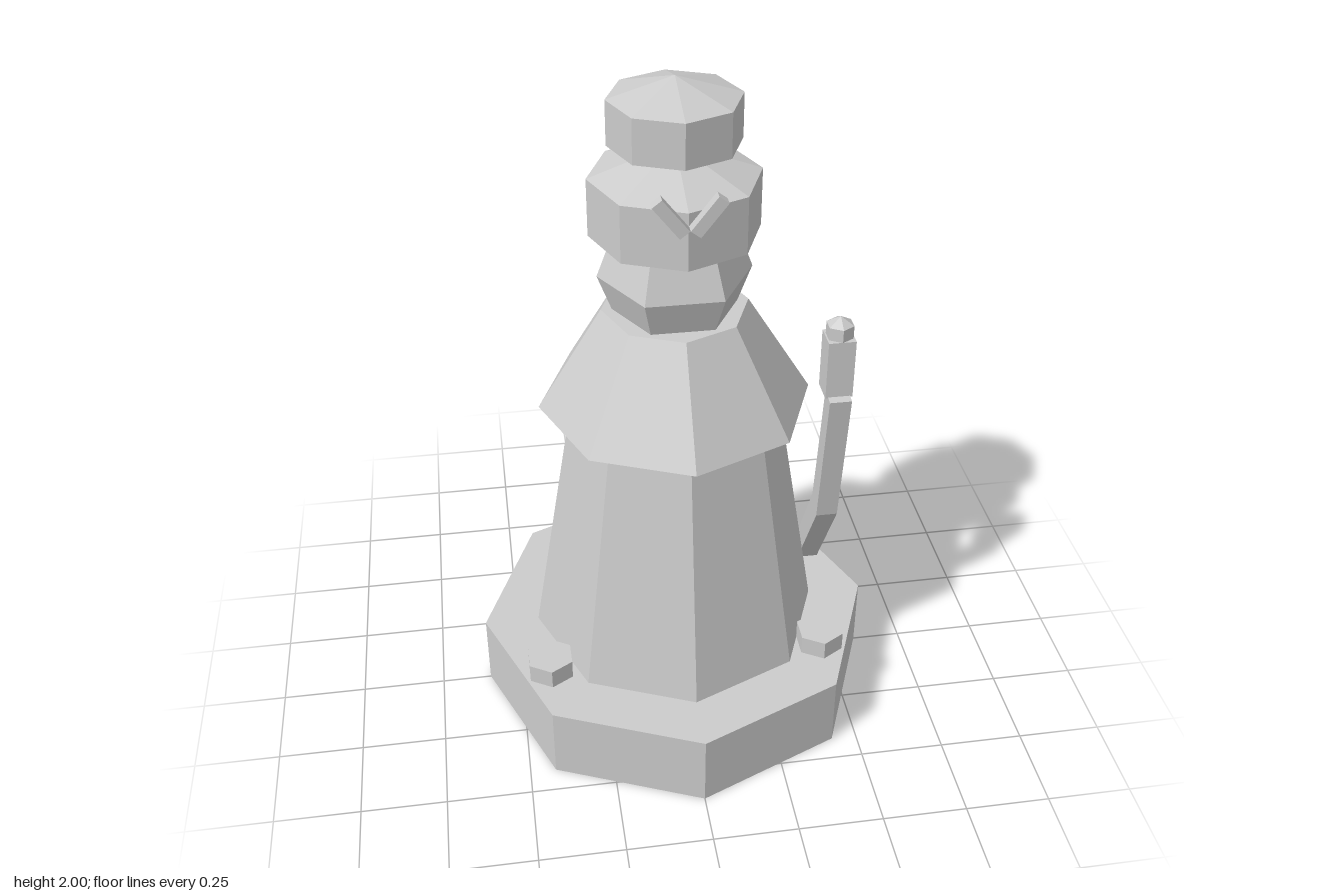
import * as THREE from 'three';

const material = new THREE.MeshStandardMaterial({ color: 0xcccccc, flatShading: true });

function add(parent, name, geometry, x = 0, y = 0, z = 0) {
  const flat = geometry.index ? geometry.toNonIndexed() : geometry;
  flat.computeVertexNormals();
  const mesh = new THREE.Mesh(flat, material);
  mesh.name = name;
  mesh.position.set(x, y, z);
  parent.add(mesh);
  return mesh;
}

// Faceted solid from [radius, height] pairs, bottom to top
function turned(profile, sides, start = 0) {
  const points = profile.map(([r, y]) => new THREE.Vector2(r, y));
  return new THREE.LatheGeometry(points, sides, start);
}

export function createModel() {
  const model = new THREE.Group();
  model.name = 'figure';

  // Stacked octagonal base, body and cape
  add(model, 'base', turned([[0, 0], [0.6, 0], [0.6, 0.23], [0, 0.23]], 8));
  add(model, 'body', turned([[0, 0.23], [0.435, 0.23], [0.3, 1.04], [0, 1.04]], 8));
  add(model, 'cape', turned([[0, 1.03], [0.393, 1.03], [0.207, 1.335], [0, 1.335]], 8));

  // Six-sided neck with its corners to the left and right
  add(model, 'neck', turned([[0, 1.33], [0.176, 1.335], [0.215, 1.44], [0.174, 1.55], [0, 1.55]], 6, Math.PI / 6));

  // Octagonal collar and head
  add(model, 'collar', turned([[0, 1.545], [0.175, 1.545], [0.235, 1.565], [0.235, 1.73], [0.08, 1.787], [0, 1.787]], 8));
  add(model, 'head', turned([[0, 1.78], [0.08, 1.78], [0.18, 1.82], [0.18, 1.945], [0, 2]], 8));

  // V of two small bars in front of the collar
  for (const side of [-1, 1]) {
    const bar = add(model, side > 0 ? 'leftBar' : 'rightBar',
      new THREE.BoxGeometry(0.033, 0.115, 0.03), side * 0.049, 1.73, 0.25);
    bar.rotation.z = -side * 0.66;
  }

  // Hexagonal studs on the base
  for (const [x, z] of [[0, -0.483], [0.414, 0.238], [-0.414, 0.238]]) {
    add(model, 'stud', new THREE.CylinderGeometry(0.073, 0.073, 0.06, 6), x, 0.26, z);
  }

  // Bent lever at the left side, drawn as a (z, y) outline
  const lever = new THREE.Group();
  lever.name = 'lever';
  model.add(lever);
  const outline = [[0.105, 1.03], [0.04, 0.57], [-0.155, 0.243], [-0.21, 0.275], [-0.02, 0.61], [0.047, 1.04]];
  const shape = new THREE.Shape(outline.map(([z, y]) => new THREE.Vector2(z, y)));
  const shaft = new THREE.ExtrudeGeometry(shape, { depth: 0.065, bevelEnabled: false });
  shaft.rotateY(-Math.PI / 2);
  add(lever, 'shaft', shaft, 0.498);
  add(lever, 'grip', new THREE.BoxGeometry(0.08, 0.185, 0.08), 0.465, 1.123, 0.041);
  add(lever, 'tip', turned([[0, 1.215], [0.041, 1.215], [0.041, 1.255], [0, 1.28]], 6), 0.465, 0, 0.041);

  return model;
}
